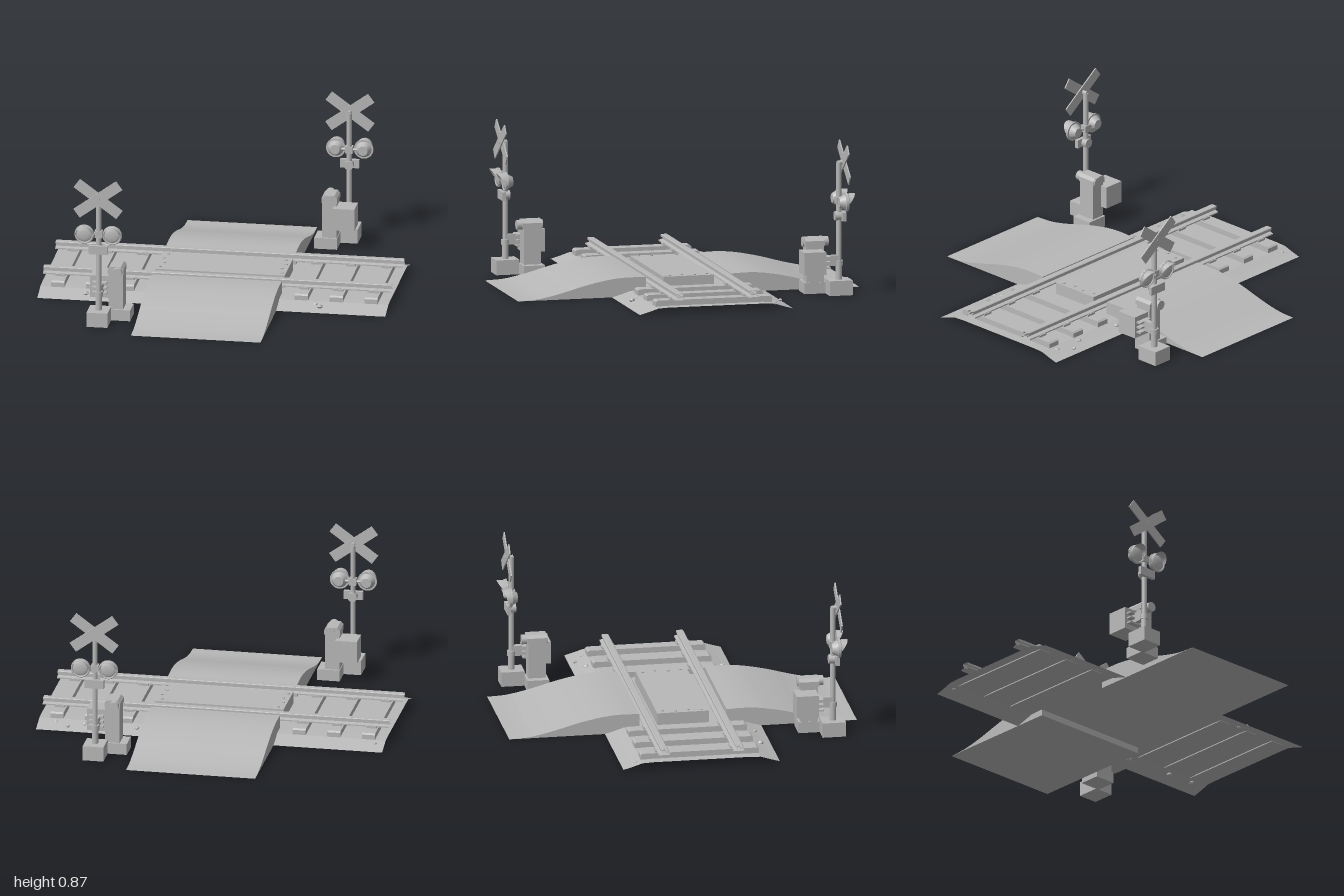
import * as THREE from 'three';

export function createModel() {
  const grey = new THREE.MeshStandardMaterial({ color: 0xb8b8b8, side: THREE.DoubleSide });
  grey.name = 'grey';
  const solidGrey = grey;
  const model = new THREE.Group();
  model.name = 'railCrossing';

  const add = (parent, name, geo, x = 0, y = 0, z = 0) => {
    const mesh = new THREE.Mesh(geo, solidGrey);
    mesh.name = name;
    mesh.position.set(x, y, z);
    parent.add(mesh);
    return mesh;
  };
  // Box given by its limits on each axis
  const block = (parent, name, x0, x1, y0, y1, z0, z1) =>
    add(parent, name, new THREE.BoxGeometry(x1 - x0, y1 - y0, z1 - z0),
      (x0 + x1) / 2, (y0 + y1) / 2, (z0 + z1) / 2);
  // Cylinder running along z, r0 at the back and r1 at the front
  const barrel = (parent, name, r0, r1, x, y, z0, z1, sides = 20) => {
    const geo = new THREE.CylinderGeometry(r1, r0, z1 - z0, sides).rotateX(Math.PI / 2);
    return add(parent, name, geo, x, y, (z0 + z1) / 2);
  };
  // Open strip: [z, y] profile swept along x with flat faces
  const strip = (profile, x0, x1) => {
    const pos = [];
    for (let i = 0; i < profile.length - 1; i++) {
      const [za, ya] = profile[i], [zb, yb] = profile[i + 1];
      pos.push(x0, ya, za, x1, ya, za, x1, yb, zb, x0, ya, za, x1, yb, zb, x0, yb, zb);
    }
    const geo = new THREE.BufferGeometry();
    geo.setAttribute('position', new THREE.Float32BufferAttribute(pos, 3));
    geo.computeVertexNormals();
    return geo;
  };
  // Solid from a [z, y] outline extruded along x, centred
  const prism = (outline, width) => {
    const shape = new THREE.Shape(outline.map(([z, y]) => new THREE.Vector2(-z, y)));
    return new THREE.ExtrudeGeometry(shape, { depth: width, bevelEnabled: false })
      .translate(0, 0, -width / 2).rotateY(Math.PI / 2);
  };

  // Ballast bed
  const bed = [[0.45, 0], [0.4, 0.014], [0.34, 0.033], [0.28, 0.036],
    [-0.28, 0.036], [-0.34, 0.033], [-0.4, 0.014], [-0.45, 0]];
  add(model, 'ballast', strip(bed, -1, 1));

  // Loose stones on the shoulders
  [[-0.945, -0.37], [0.43, -0.38], [0.73, -0.37], [0.82, -0.42], [0.9, -0.365],
    [-0.73, 0.385], [-0.525, 0.385], [0.585, 0.365], [0.615, 0.395]].forEach(([x, z], i) => {
    const stone = add(model, 'stone', new THREE.IcosahedronGeometry(0.012 + 0.003 * (i % 3), 0),
      x, 0.022, z);
    stone.scale.y = 0.8;
    stone.rotation.y = i;
  });

  // Sleepers with bevelled ends, and plates under the rails
  const sleeper = [[0.34, 0.03], [0.34, 0.06], [0.33, 0.068],
    [-0.33, 0.068], [-0.34, 0.06], [-0.34, 0.03]];
  for (const x of [-0.9, -0.7, -0.5, 0.5, 0.7, 0.9]) {
    add(model, 'sleeper', prism(sleeper, 0.076), x);
    for (const s of [-1, 1])
      block(model, 'railPlate', x - 0.028, x + 0.028, 0.066, 0.08, s * 0.215 - 0.038, s * 0.215 + 0.038);
  }

  // Rails: open-ended I section
  const half = [[0.032, 0.075], [0.032, 0.082], [0.01, 0.088], [0.01, 0.098],
    [0.02, 0.1], [0.02, 0.112], [0.016, 0.115]];
  const section = [...half, ...half.slice().reverse().map(([z, y]) => [-z, y]), half[0]];
  for (const s of [-1, 1]) add(model, 'rail', strip(section, -1, 1), 0, 0, s * 0.215);

  // Road deck between the rails, with bolts
  block(model, 'roadDeck', -0.373, 0.373, 0.036, 0.106, -0.148, 0.148);
  [-0.113, -0.04, 0.033, 0.106].forEach((z, i) => {
    for (const s of [-1, 1])
      add(model, 'deckBolt', new THREE.CylinderGeometry(0.009, 0.009, 0.006, 8),
        s * (0.337 + 0.014 * (i % 2)), 0.108, z);
  });

  // Road ramps
  const crest = new THREE.CatmullRomCurve3([[1, 0], [0.89, 0.006], [0.76, 0.032], [0.6, 0.075],
    [0.45, 0.104], [0.35, 0.111], [0.25, 0.108]].map(([z, y]) => new THREE.Vector3(0, y, z)))
    .getPoints(20).map(p => [p.z, p.y]);
  for (const s of [0, 1]) {
    const ramp = add(model, 'roadRamp', prism([...crest, [0.25, 0]], 0.746));
    ramp.rotation.y = s * Math.PI;
  }

  // Warning signal with gate machine
  const signal = new THREE.Group();
  signal.name = 'warningSignal';
  const X = -0.585, Z = 0.825;
  block(signal, 'mastFooting', -0.645, -0.525, 0, 0.085, 0.757, 0.892);
  const tube = (name, r, y0, y1) =>
    add(signal, name, new THREE.CylinderGeometry(r, r, y1 - y0, 16), X, (y0 + y1) / 2, Z);
  tube('mast', 0.015, 0.08, 0.757);
  tube('mastSocket', 0.019, 0.085, 0.18);
  tube('mastCollar', 0.024, 0.165, 0.195);
  tube('mastCollar', 0.022, 0.44, 0.46);

  // Cross sign
  for (const s of [-1, 1]) {
    const board = add(signal, 'crossBoard', new THREE.BoxGeometry(0.303, 0.062, 0.007),
      X, 0.757, 0.852 + s * 0.004);
    board.rotation.z = s * 0.63;
  }
  barrel(signal, 'crossBracket', 0.012, 0.012, X, 0.757, 0.815, 0.862, 10);

  // Twin lamps on a cross arm
  add(signal, 'lampArm', new THREE.CylinderGeometry(0.008, 0.008, 0.17, 10).rotateZ(Math.PI / 2), X, 0.54, Z);
  block(signal, 'lampClamp', X - 0.022, X + 0.022, 0.52, 0.56, 0.805, 0.845);
  for (const s of [-1, 1]) {
    const x = X + s * 0.08;
    barrel(signal, 'lampHousing', 0.028, 0.046, x, 0.54, 0.805, 0.838);
    barrel(signal, 'lampPlate', 0.056, 0.056, x, 0.54, 0.838, 0.848, 28);
    add(signal, 'lampRim', new THREE.TorusGeometry(0.05, 0.005, 6, 28), x, 0.54, 0.85);
    const lens = add(signal, 'lampLens', new THREE.SphereGeometry(0.044, 20, 6, 0, Math.PI * 2, 0, Math.PI / 2)
      .rotateX(Math.PI / 2), x, 0.54, 0.846);
    lens.scale.z = 0.25;
    // Visor is a half tube, cut back towards its sides
    const visor = new THREE.CylinderGeometry(0.05, 0.05, 0.048, 20, 1, true, Math.PI / 2, Math.PI)
      .rotateX(Math.PI / 2);
    const p = visor.attributes.position;
    for (let i = 0; i < p.count; i++)
      if (p.getZ(i) > 0) p.setZ(i, -0.012 + 0.036 * Math.abs(p.getY(i)) / 0.05);
    add(signal, 'lampVisor', visor, x, 0.54, 0.872);
  }

  // Bell box under the lamps
  block(signal, 'bellBox', -0.64, -0.53, 0.425, 0.475, 0.835, 0.856);
  barrel(signal, 'bell', 0.027, 0.027, X, 0.45, 0.8, 0.838, 16);

  // Relay cabinet bracketed to the mast
  block(signal, 'relayCabinet', -0.65, -0.525, 0.125, 0.255, 0.607, 0.735);
  for (const y of [0.16, 0.19, 0.22])
    block(signal, 'cabinetBracket', -0.635, -0.55, y - 0.005, y + 0.005, 0.73, 0.765);
  block(signal, 'cabinetStay', -0.6, -0.57, 0.165, 0.225, 0.73, 0.82);

  // Gate machine on its footing
  block(signal, 'machineFooting', -0.545, -0.415, 0, 0.065, 0.635, 0.76);
  block(signal, 'machineBody', -0.542, -0.458, 0.065, 0.28, 0.648, 0.748);
  const hood = new THREE.Shape([[-0.045, 0], [0.045, 0], [0.045, 0.028], [0.03, 0.045],
    [-0.03, 0.045], [-0.045, 0.028]].map(p => new THREE.Vector2(...p)));
  add(signal, 'machineHood', new THREE.ExtrudeGeometry(hood, { depth: 0.115, bevelEnabled: false }),
    -0.5, 0.275, 0.64);
  barrel(signal, 'gateShaft', 0.028, 0.028, -0.487, 0.292, 0.635, 0.785);

  model.add(signal);
  const farSignal = signal.clone();
  farSignal.rotation.y = Math.PI;
  model.add(farSignal);
  return model;
}
